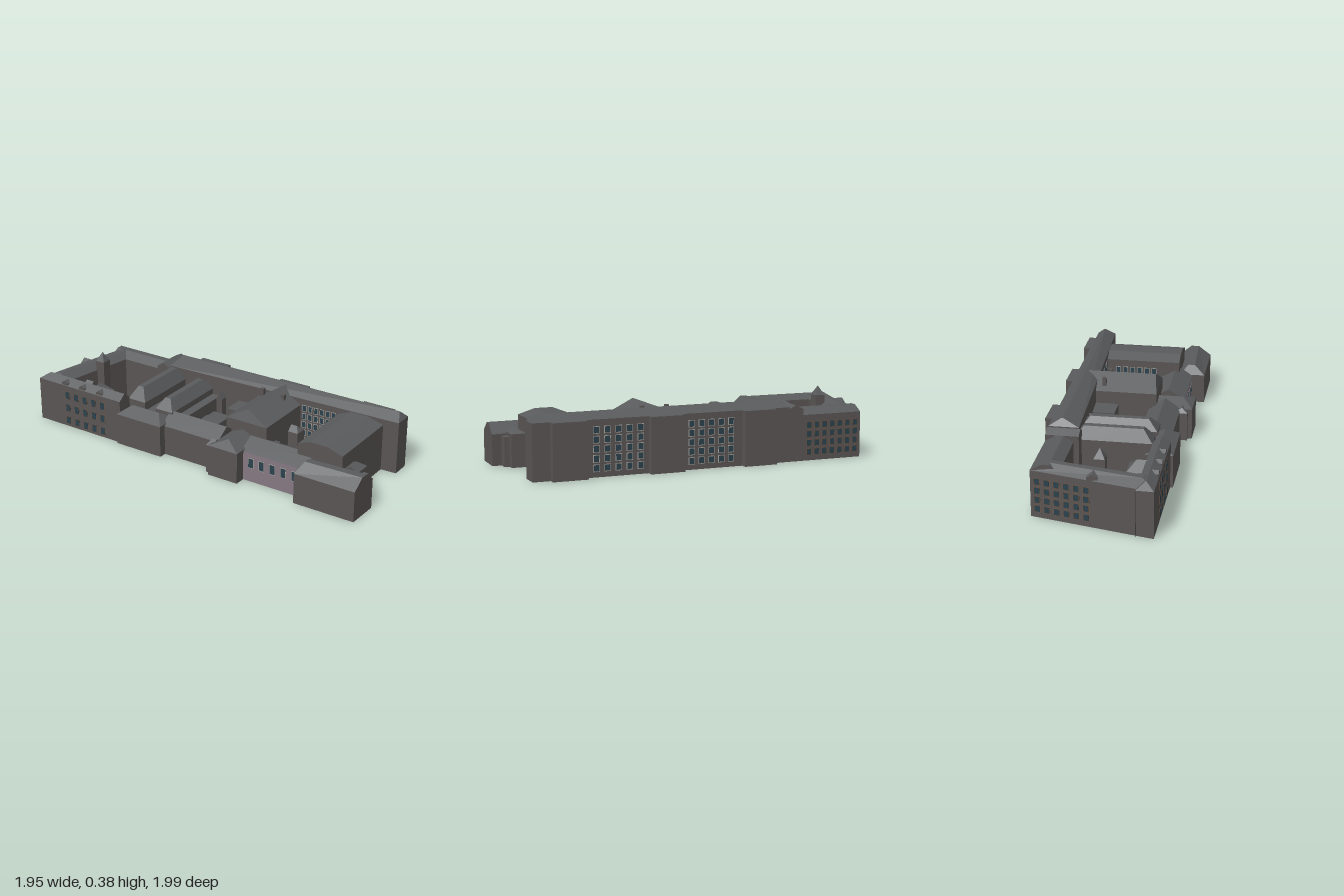
import * as THREE from 'three';
import { mergeGeometries } from 'three/addons/utils/BufferGeometryUtils.js';

const mat = (color) => new THREE.MeshStandardMaterial({ color, side: THREE.DoubleSide, flatShading: true });
const WALL = mat(0x5a5555), ROOF = mat(0x595b5d), PLASTER = mat(0x857880);
const GLASS = mat(0x2b414c), STONE = mat(0xa8a49c), BROWN = mat(0x70543f);

const mix = (a, b, k) => [a[0] + (b[0] - a[0]) * k, a[1] + (b[1] - a[1]) * k];

// Flat shaded geometry from quads, dropping triangles without area
function quads(list) {
  const pos = [], v = (p) => new THREE.Vector3(...p);
  for (const [a, b, c, d] of list) {
    for (const t of [[a, b, c], [a, c, d]]) {
      if (new THREE.Triangle(...t.map(v)).getArea() > 1e-7) pos.push(...t.flat());
    }
  }
  const g = new THREE.BufferGeometry();
  g.setAttribute('position', new THREE.Float32BufferAttribute(pos, 3));
  g.computeVertexNormals();
  return g;
}

// Footprint rectangle; the ridge runs along x, or along z when acrossZ is set
const rect = (x0, x1, z0, z1, acrossZ) => acrossZ
  ? [[x0, z1], [x1, z1], [x1, z0], [x0, z0]]
  : [[x0, z0], [x0, z1], [x1, z1], [x1, z0]];

// Open-bottomed house: four walls and a gabled, hipped or flat-topped roof.
// a..b is the span of the roof top across the width, hips are inset fractions,
// open lists the sides without a wall because they run into another part.
function house(root, name, p, eave, ridge, { hip0 = 0, hip1 = 0, a = 0.5, b = 0.5, base = 0, open = [] } = {}) {
  const g = new THREE.Group();
  g.name = name;
  const low = p.map(([x, z]) => [x, base, z]);
  const mid = p.map(([x, z]) => [x, eave, z]);
  const s0 = mix(p[0], p[1], a), s1 = mix(p[0], p[1], b);
  const e0 = mix(p[3], p[2], a), e1 = mix(p[3], p[2], b);
  const top = [mix(s0, e0, hip0), mix(s1, e1, hip0), mix(s1, e1, 1 - hip1), mix(s0, e0, 1 - hip1)]
    .map(([x, z]) => [x, ridge, z]);
  const walls = [], roof = [top];
  for (let i = 0; i < 4; i++) {
    const j = (i + 1) % 4;
    if (!open.includes(i)) walls.push([low[i], low[j], mid[j], mid[i]]);
    const gable = (i === 0 && !hip0) || (i === 2 && !hip1);
    (gable ? walls : roof).push([mid[i], mid[j], top[j], top[i]]);
  }
  const w = new THREE.Mesh(quads(walls), WALL), r = new THREE.Mesh(quads(roof), ROOF);
  w.name = name + 'Walls';
  r.name = name + 'Roof';
  g.add(w, r);
  root.add(g);
}

const flat = (root, name, x0, x1, z0, z1, h, open = []) =>
  house(root, name, rect(x0, x1, z0, z1), h, h, { a: 0, b: 1, open });

// Grid of windows on the wall from one plan point to another (outside on the right hand)
function windows(root, name, from, to, cols, rows, y0, pitch, h, frame = STONE) {
  const len = Math.hypot(to[0] - from[0], to[1] - from[1]);
  const frames = [], panes = [], w = Math.min(0.03, (len / cols) * 0.55);
  for (let c = 0; c < cols; c++) {
    for (let r = 0; r < rows; r++) {
      const x = ((c + 0.5) / cols) * len, y = y0 + r * pitch;
      frames.push(new THREE.BoxGeometry(w + 0.007, h + 0.007, 0.002).translate(x, y, 0));
      panes.push(new THREE.BoxGeometry(w, h, 0.002).translate(x, y, 0.001));
    }
  }
  const g = new THREE.Group();
  g.name = name;
  const f = new THREE.Mesh(mergeGeometries(frames), frame), p = new THREE.Mesh(mergeGeometries(panes), GLASS);
  f.name = 'windowFrames';
  p.name = 'windowPanes';
  g.add(f, p);
  g.position.set(from[0], 0, from[1]);
  g.rotation.y = Math.atan2(from[1] - to[1], to[0] - from[0]);
  root.add(g);
}

export function createModel() {
  const model = new THREE.Group();
  model.name = 'courtyardBuilding';
  // The plan is laid out along its long axis, then turned to stand diagonally
  const root = new THREE.Group();
  root.name = 'buildingPlan';
  root.position.set(-0.38, 0, -1);
  root.rotation.y = -0.821;
  model.add(root);

  // Tall long wing with its three shallow bays
  house(root, 'longWing', [[0.46, 0], [0.46, 0.17], [1.985, 0.11], [1.985, 0]], 0.315, 0.355,
    { hip0: 0.02, hip1: 0.02, a: 0.4, b: 0.45 });
  for (const x of [0.56, 1.125, 1.685]) flat(root, 'facadeBay', x, x + 0.2, -0.04, 0.03, 0.315, [1]);
  house(root, 'stepBlock', rect(0.375, 0.47, 0, 0.185, true), 0.3, 0.325, { open: [1] });

  // Lower wings round the first courtyard
  house(root, 'cornerWing', rect(0, 0.4, 0, 0.155), 0.265, 0.3, { a: 0.4, b: 0.65, open: [0, 2] });
  house(root, 'endWing', [[-0.152, 0.671], [0.01, 0.671], [0.135, 0], [0, 0]], 0.265, 0.3,
    { hip0: 0.1, hip1: 0.1, a: 0.4, b: 0.65, open: [2] });
  house(root, 'courtSideWing', [[-0.15, 0.575], [-0.153, 0.671], [0.46, 0.675], [0.46, 0.58]], 0.265, 0.3,
    { hip0: 0.08, open: [0] });
  house(root, 'courtAnnex', rect(0.14, 0.27, 0.48, 0.6, true), 0.22, 0.27, { hip1: 0.4, open: [0] });

  // Stair turret with a pointed roof
  house(root, 'stairTurret', rect(0.055, 0.115, 0.325, 0.385), 0.325, 0.38, { hip0: 0.5, hip1: 0.5 });
  house(root, 'turretAnnex', rect(0.03, 0.1, 0.44, 0.5), 0.2, 0.23, { open: [0] });

  // Dormers on the end and courtyard side wings
  for (const x of [0.02, 0.15, 0.28]) house(root, 'dormer', rect(x, x + 0.045, 0.62, 0.67, true), 0.28, 0.295, { base: 0.25 });
  house(root, 'endDormer', rect(-0.075, 0.0, 0.31, 0.37), 0.28, 0.3, { base: 0.25 });

  // Wings crossing between the long sides
  house(root, 'firstCrossWing', rect(0.45, 0.57, 0.14, 0.575, true), 0.25, 0.32,
    { hip0: 0.12, hip1: 0.12, a: 0.3, b: 0.6, open: [2] });
  house(root, 'secondCrossWing', rect(0.645, 0.765, 0.14, 0.575, true), 0.235, 0.295,
    { hip0: 0.12, hip1: 0.12, a: 0.3, b: 0.6, open: [2] });
  house(root, 'thirdCrossWing', rect(1.095, 1.365, 0.07, 0.505, true), 0.275, 0.35, { hip0: 0.05, open: [2] });
  house(root, 'fourthCrossWing', rect(1.61, 1.89, 0.08, 0.575, true), 0.28, 0.31, { a: 0.28, b: 0.65, open: [2] });
  flat(root, 'lowInfill', 0.57, 0.645, 0.14, 0.56, 0.2, [0, 1, 2, 3]);
  flat(root, 'courtGallery', 0.765, 0.82, 0.14, 0.5, 0.2, [0, 1, 3]);

  // Small buildings inside the courtyards
  flat(root, 'courtPavilion', 0.85, 0.97, 0.27, 0.41, 0.15);
  flat(root, 'courtLink', 0.82, 0.86, 0.3, 0.36, 0.13, [0, 2]);
  flat(root, 'longWingAnnex', 0.95, 1.1, 0.14, 0.28, 0.2, [2, 3]);
  house(root, 'rearAnnex', rect(0.82, 0.86, 0.14, 0.2, true), 0.2, 0.24, { open: [2, 3] });
  house(root, 'courtPorch', rect(1.36, 1.43, 0.2, 0.27), 0.16, 0.19, { hip1: 0.4, open: [0] });
  flat(root, 'courtLedge', 1.36, 1.4, 0.41, 0.47, 0.16, [0, 1]);
  flat(root, 'cornerLedge', 1.58, 1.62, 0.42, 0.47, 0.16, [1, 2]);

  // Low front wing, its pavilions and the end block
  house(root, 'sidePavilion', rect(0.445, 0.76, 0.535, 0.69), 0.19, 0.235, { hip0: 0.2, hip1: 0.2 });
  house(root, 'frontWing', rect(0.74, 1.13, 0.46, 0.645), 0.18, 0.24, { open: [0, 2] });
  house(root, 'centrePavilion', rect(1.11, 1.305, 0.5, 0.715, true), 0.185, 0.225, { hip0: 0.3, open: [2] });
  house(root, 'centreSidePorch', rect(1.08, 1.13, 0.62, 0.69), 0.17, 0.2, { hip0: 0.4, open: [2] });
  house(root, 'plasterWing', rect(1.29, 1.7, 0.45, 0.65), 0.175, 0.23, { open: [0, 1, 2] });
  house(root, 'endBlock', [[1.678, 0.57], [1.678, 0.725], [2.05, 0.725], [2.055, 0.535]], 0.18, 0.235,
    { a: 0.35, b: 0.6, hip0: 0.08 });
  house(root, 'endBlockAnnex', rect(1.88, 1.97, 0.44, 0.545, true), 0.19, 0.215, { hip1: 0.3, open: [0] });
  flat(root, 'endBlockStep', 1.96, 2.0, 0.48, 0.545, 0.17, [0, 1]);

  // Pale plastered front wall of the low wing
  const panel = new THREE.Mesh(new THREE.PlaneGeometry(0.388, 0.175), PLASTER);
  panel.name = 'plasterFront';
  panel.position.set(1.484, 0.0875, 0.65);
  root.add(panel);

  // Roof vents
  for (const [x, z] of [[1.14, 0.19], [1.285, 0.2]]) {
    const c = new THREE.Mesh(new THREE.BoxGeometry(0.022, 0.08, 0.022), WALL);
    c.name = 'roofVent';
    c.position.set(x, 0.305, z);
    root.add(c);
  }

  // Windows
  windows(root, 'longWingWindowsA', [1.1, 0], [0.8, 0], 5, 5, 0.05, 0.052, 0.034);
  windows(root, 'longWingWindowsB', [1.66, 0], [1.34, 0], 5, 5, 0.05, 0.052, 0.034);
  windows(root, 'cornerWingWindows', [0.36, 0], [0.01, 0], 7, 4, 0.05, 0.052, 0.034, BROWN);
  windows(root, 'endWingWindows', [-0.002, 0.01], [-0.076, 0.335], 6, 4, 0.05, 0.052, 0.034, BROWN);
  windows(root, 'sideWingWindows', [0.03, 0.6725], [0.36, 0.6745], 5, 3, 0.04, 0.082, 0.045, BROWN);
  windows(root, 'courtWindows', [1.61, 0.17], [1.61, 0.44], 6, 4, 0.06, 0.052, 0.034);
  windows(root, 'longWingCourtWindows', [1.37, 0.134], [1.6, 0.125], 6, 5, 0.05, 0.052, 0.034);
  windows(root, 'plasterFrontWindows', [1.32, 0.65], [1.67, 0.65], 5, 1, 0.115, 0.05, 0.055);
  return model;
}
